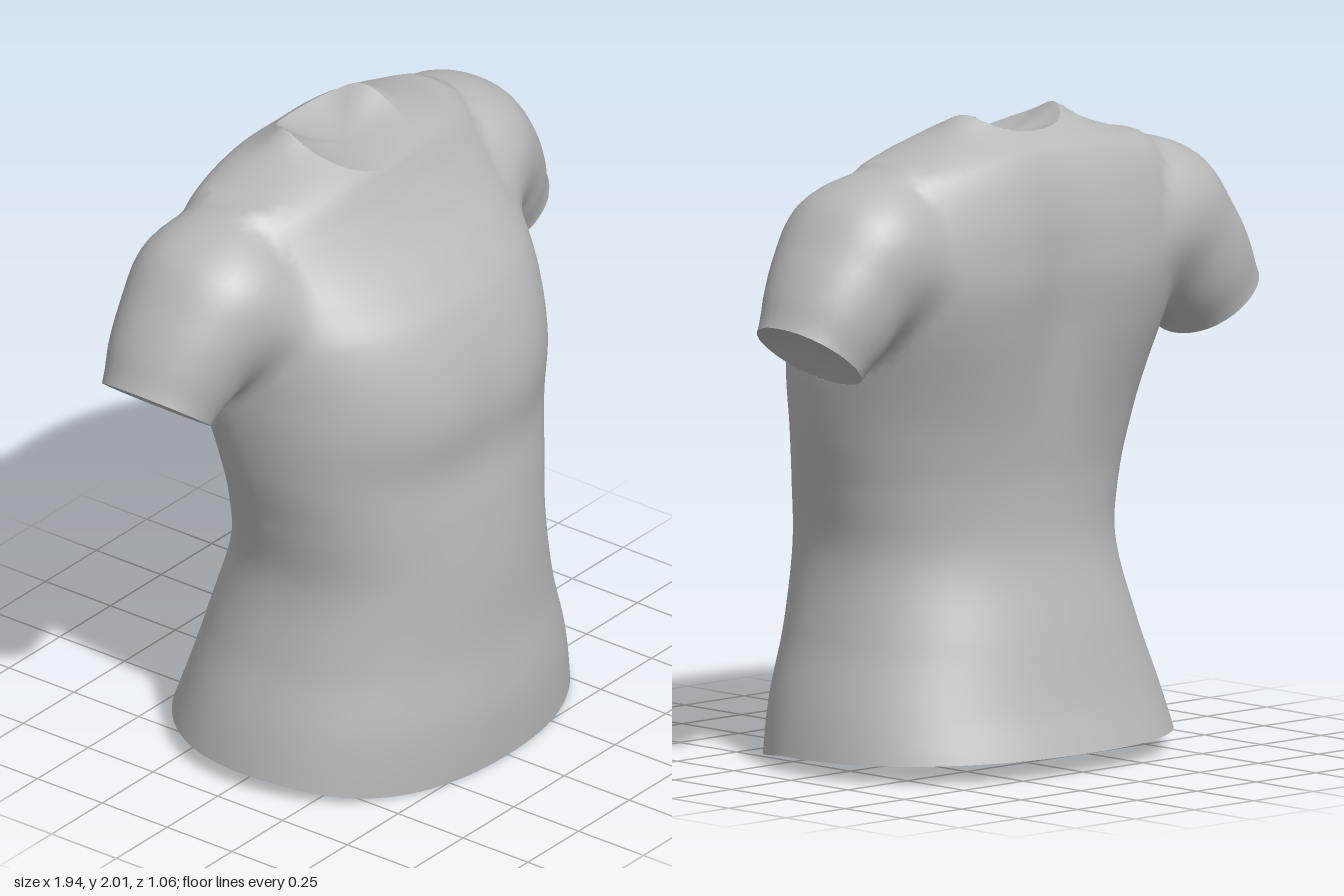
import * as THREE from 'three';
import { mergeVertices } from 'three/addons/utils/BufferGeometryUtils.js';

// Torso cross-sections: height, half width, front z, back z, z of the widest point
const SECTIONS = [
  [-0.15, 0.70, 0.52, -0.60, 0.0],
  [0.05, 0.665, 0.535, -0.53, 0.0],
  [0.2, 0.63, 0.535, -0.475, 0.01],
  [0.4, 0.565, 0.515, -0.42, 0.03],
  [0.65, 0.515, 0.505, -0.35, 0.05],
  [0.85, 0.54, 0.485, -0.34, 0.04],
  [1.02, 0.575, 0.462, -0.36, 0.02],
  [1.2, 0.6, 0.468, -0.395, -0.02],
  [1.35, 0.61, 0.445, -0.425, -0.07],
  [1.5, 0.62, 0.385, -0.45, -0.12],
  [1.6, 0.63, 0.305, -0.45, -0.15],
  [1.7, 0.635, 0.21, -0.44, -0.16],
  [1.8, 0.61, 0.135, -0.415, -0.17],
  [1.86, 0.55, 0.1, -0.39, -0.17],
  [1.9, 0.44, 0.075, -0.365, -0.17],
  [1.95, 0.29, 0.01, -0.3, -0.17],
  [2.0, 0.2, -0.09, -0.24, -0.17],
  [2.06, 0.05, -0.14, -0.2, -0.17],
];
// Sleeve sections: distance up from the cuff, half width across, half depth, z centre
const SLEEVE = [
  [-0.2, 0.16, 0.165, -0.17],
  [0, 0.168, 0.178, -0.17],
  [0.12, 0.195, 0.21, -0.165],
  [0.25, 0.207, 0.235, -0.155],
  [0.4, 0.195, 0.238, -0.15],
  [0.5, 0.145, 0.19, -0.15],
  [0.6, 0.06, 0.09, -0.15],
];

// Smooth interpolation down a table whose first column is the key
function lookup(table, key) {
  const last = table.length - 1;
  const t = Math.min(Math.max(key, table[0][0]), table[last][0]);
  let i = 0;
  while (i < last - 1 && t > table[i + 1][0]) i++;
  const a = table[i], b = table[i + 1];
  const p = table[Math.max(i - 1, 0)], q = table[Math.min(i + 2, last)];
  const h = b[0] - a[0], u = (t - a[0]) / h;
  return a.map((v, c) => {
    const m0 = (b[c] - p[c]) / (b[0] - p[0]) * h, m1 = (q[c] - v) / (q[0] - a[0]) * h;
    return v + u * (m0 + u * (3 * (b[c] - v) - 2 * m0 - m1 + u * (2 * (v - b[c]) + m0 + m1)));
  });
}
const bump = (v, centre, size) => Math.exp(-(((v - centre) / size) ** 2));
const oval = (a, b, n) => (Math.abs(a) ** n + Math.abs(b) ** n) ** (1 / n);
const cuffDistance = (x, y) => (x - 0.835) * -0.595 + (y - 1.335) * 0.803;
const hemHeight = z => 0.05 - 0.045 * THREE.MathUtils.smoothstep(z, 0.1, 0.53) - 0.02 * Math.min(z, 0.25);

function torsoField(x, y, z) {
  const [, w, front, back, side] = lookup(SECTIONS, y);
  const isFront = z > side;
  let depth = isFront ? front - side : side - back;
  // Bust, and a groove down the spine
  if (isFront) depth += 0.014 * bump(x, 0.22, 0.2) * bump(y, 1.2, 0.2);
  else depth -= 0.035 * bump(x, 0, 0.13) * bump(y, 1.45, 0.38);
  const n = 2.2 + (isFront ? 0.15 : 0.8) * bump(y, 1.47, 0.25);
  return (oval(x / w, (z - side) / depth, n) - 1) * Math.min(w, (front - back) / 2);
}
function sleeveField(x, y, z) {
  const s = cuffDistance(x, y), across = (x - 0.835) * 0.803 + (y - 1.335) * 0.595;
  const [, w, d, centre] = lookup(SLEEVE, s);
  const f = (oval(across / w, (z - centre) / d, 2.1) - 1) * 0.2;
  return Math.max(f, -0.09 - s, s - 0.6);
}
// Torso and sleeves softly joined, more softly over the shoulders than under the arms
function field(px, y, z) {
  const x = Math.abs(px), k = 0.06 + 0.07 * THREE.MathUtils.smoothstep(y, 1.35, 1.6);
  const a = torsoField(x, y, z), b = sleeveField(x, y, z);
  const h = Math.max(k - Math.abs(a - b), 0) / k;
  return Math.min(a, b) - h * h * k * 0.25;
}
function gradient(p) {
  const e = 0.004;
  return new THREE.Vector3(
    field(p.x + e, p.y, p.z) - field(p.x - e, p.y, p.z),
    field(p.x, p.y + e, p.z) - field(p.x, p.y - e, p.z),
    field(p.x, p.y, p.z + e) - field(p.x, p.y, p.z - e)).divideScalar(2 * e);
}
// Positive where cloth is kept; zero along the hem, cuffs and neckline
function keep(p) {
  const x = Math.abs(p.x);
  const cuff = Math.max(cuffDistance(x, p.y), 0.64 - x, 1 - p.y);
  const neck = Math.max((oval(x / 0.195, (p.z + 0.105) / 0.187, 2.4) - 1) * 0.19, 1.6 - p.y);
  return Math.min(p.y - hemHeight(p.z), cuff, neck);
}
// Cut a polygon along the openings
function trim(polygon) {
  const out = [];
  polygon.forEach((a, i) => {
    const b = polygon[(i + 1) % polygon.length], ka = keep(a), kb = keep(b);
    if (ka >= 0) out.push(a);
    if ((ka >= 0) !== (kb >= 0)) out.push(a.clone().lerp(b, ka / (ka - kb)));
  });
  return out;
}

// Skin the field: one point per grid cell that it crosses, one quad per crossed edge
function clothGeometry() {
  const step = 0.035, [nx, ny, nz] = [62, 64, 40], stride = [1, nx, nx * ny];
  const at = (i, j, k) => new THREE.Vector3(-1.0675 + i * step, -0.1 + j * step, -0.7 + k * step);
  const values = new Float32Array(nx * ny * nz).fill(1), points = new Map();
  const each = (start, visit) => {
    for (let k = start; k < nz - 1; k++)
      for (let j = start; j < ny - 1; j++)
        for (let i = start; i < nx - 1; i++) visit(i, j, k, i + j * nx + k * nx * ny);
  };
  each(0, (i, j, k, id) => { const p = at(i, j, k); values[id] = field(p.x, p.y, p.z); });

  each(0, (i, j, k, id) => {
    const sum = new THREE.Vector3();
    const corner = n => id + (n & 1) + ((n >> 1) & 1) * nx + (n >> 2) * nx * ny;
    const place = n => at(i + (n & 1), j + ((n >> 1) & 1), k + (n >> 2));
    let count = 0;
    for (let c = 0; c < 8; c++)
      for (let axis = 0; axis < 3; axis++) {
        const d = c | (1 << axis), a = values[corner(c)], b = values[corner(d)];
        if (c === d || (a < 0) === (b < 0)) continue;
        sum.add(place(c).lerp(place(d), a / (a - b)));
        count++;
      }
    if (!count) return;
    const p = sum.divideScalar(count);
    for (let n = 0; n < 2; n++) {
      const g = gradient(p);
      const move = -field(p.x, p.y, p.z) / Math.max(g.lengthSq(), 0.2);
      p.add(g.multiplyScalar(move).clampLength(0, step * 0.5));
    }
    points.set(id, p);
  });

  const positions = [], normals = [], edge1 = new THREE.Vector3(), edge2 = new THREE.Vector3();
  each(1, (i, j, k, id) => {
    for (let axis = 0; axis < 3; axis++) {
      if ((values[id] < 0) === (values[id + stride[axis]] < 0)) continue;
      const u = stride[(axis + 1) % 3], v = stride[(axis + 2) % 3];
      const quad = [id, id - u, id - u - v, id - v].map(n => points.get(n));
      if (quad.some(p => !p)) continue;
      for (const tri of [[quad[0], quad[1], quad[2]], [quad[0], quad[2], quad[3]]]) {
        const cut = trim(tri);
        for (let n = 1; n < cut.length - 1; n++) {
          const fan = [cut[0], cut[n], cut[n + 1]];
          edge1.subVectors(fan[1], fan[0]);
          edge2.subVectors(fan[2], fan[0]);
          const slopes = fan.map(p => gradient(p).normalize());
          const outward = edge1.cross(edge2).dot(slopes[0]) > 0;
          for (const m of outward ? [0, 1, 2] : [0, 2, 1]) {
            positions.push(...fan[m].toArray());
            normals.push(...slopes[m].toArray());
          }
        }
      }
    }
  });
  const geometry = new THREE.BufferGeometry();
  geometry.setAttribute('position', new THREE.Float32BufferAttribute(positions, 3));
  geometry.setAttribute('normal', new THREE.Float32BufferAttribute(normals, 3));
  return mergeVertices(geometry, 1e-5);
}

// Dished panel closing an opening; path(cos, sin, t) runs from inside the cloth to outside
function panelGeometry(path, inward, recess, around = 64, rings = 8) {
  const rim = [], centre = new THREE.Vector3(), positions = [], index = [];
  for (let i = 0; i < around; i++) {
    const a = i / around * Math.PI * 2;
    let low = 0, high = 1;
    for (let n = 0; n < 24; n++) {
      const mid = (low + high) / 2, p = path(Math.cos(a), Math.sin(a), mid);
      if (field(p.x, p.y, p.z) < 0) low = mid; else high = mid;
    }
    rim.push(path(Math.cos(a), Math.sin(a), low));
    centre.addScaledVector(rim[i], 1 / around);
  }
  for (let r = 0; r <= rings; r++)
    for (let i = 0; i < around; i++) {
      const t = r / rings, next = (i + 1) % around, row = r * around;
      const rise = rim[i].clone().sub(centre).dot(inward);
      const p = centre.clone().lerp(rim[i], t).addScaledVector(inward, rise * (t * t - t) + recess * (1 - t * t));
      positions.push(...p.toArray());
      if (r < rings) index.push(row + i, row + around + i, row + around + next, row + i, row + around + next, row + next);
    }
  const geometry = new THREE.BufferGeometry();
  geometry.setAttribute('position', new THREE.Float32BufferAttribute(positions, 3));
  geometry.setIndex(index);
  geometry.computeVertexNormals();
  return geometry;
}

export function createModel() {
  const cloth = new THREE.MeshStandardMaterial({ color: 0xb8b8b8, side: THREE.DoubleSide });
  cloth.name = 'grey cloth';
  const group = new THREE.Group();
  group.name = 'shirt';
  const add = (name, geometry) => {
    const mesh = new THREE.Mesh(geometry, cloth);
    mesh.name = name;
    group.add(mesh);
  };
  const vec = (x, y, z) => new THREE.Vector3(x, y, z);
  add('shortSleevedShirt', clothGeometry());
  add('hemPanel', panelGeometry((c, s, t) => vec(0.9 * c * t, hemHeight(0.8 * s * t), 0.8 * s * t), vec(0, 1, 0), 0.04));
  add('neckPanel', panelGeometry((c, s, t) => {
    const r = 1 / oval(c, s, 2.4);
    return vec(0.195 * c * r, 1.7 + 0.4 * t, -0.105 + 0.187 * s * r);
  }, vec(0, -1, 0), 0.04));
  for (const [name, side] of [['leftCuffPanel', 1], ['rightCuffPanel', -1]])
    add(name, panelGeometry((c, s, t) => vec(side * (0.835 + 0.803 * 0.3 * c * t), 1.335 + 0.595 * 0.3 * c * t, -0.17 + 0.3 * s * t),
      vec(-0.595 * side, 0.803, 0), 0.02));
  return group;
}
